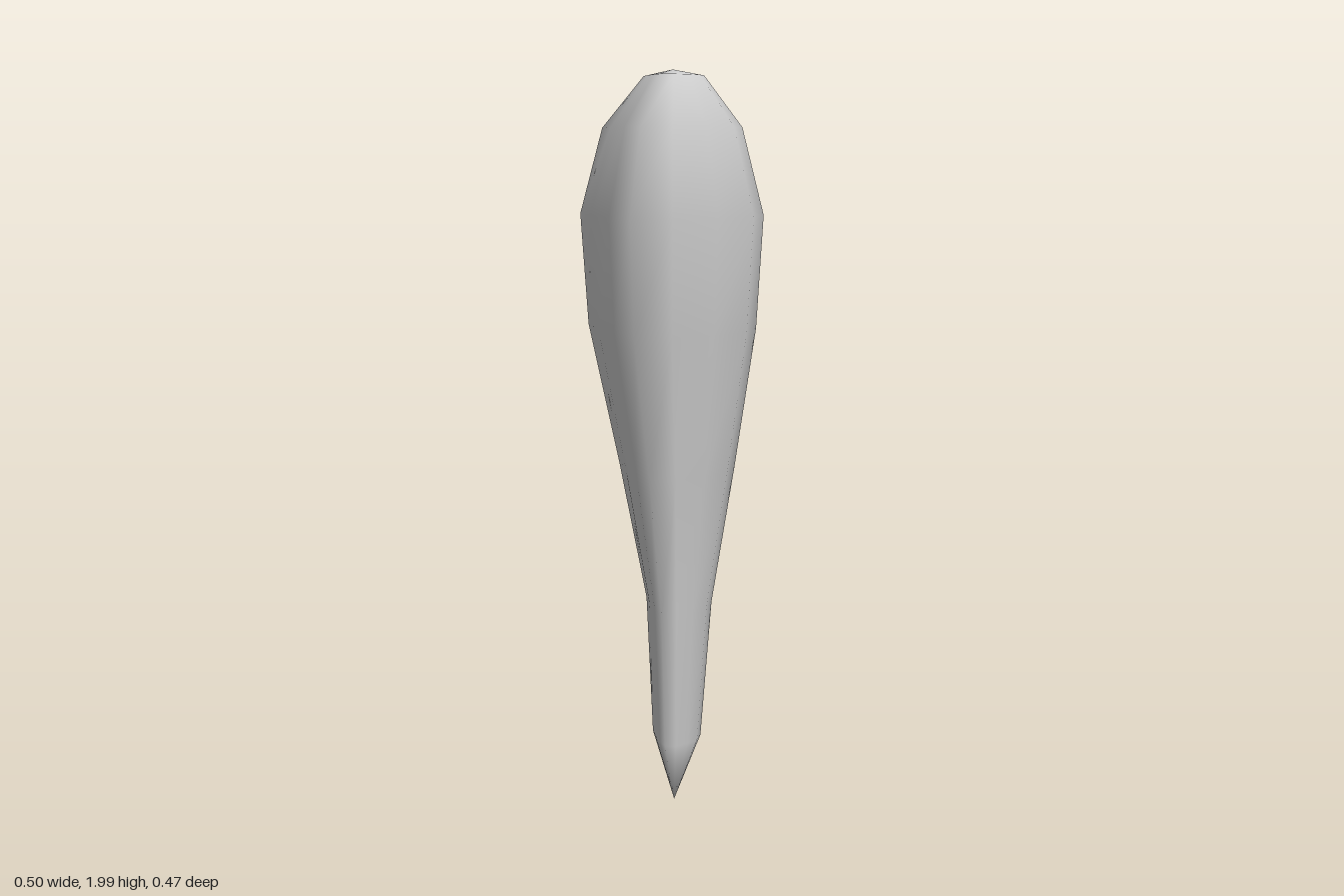
import * as THREE from 'three';

// Irregular faceted cross-section at the widest point, as [x, z]
const SECTION = [
  [-0.25, -0.085], [-0.17, -0.18], [-0.1, -0.2], [0, -0.235], [0.1, -0.225], [0.19, -0.17],
  [0.25, -0.07], [0.24, 0.04], [0.165, 0.14], [0.065, 0.225], [-0.04, 0.235],
  [-0.115, 0.15], [-0.19, 0.035],
];

// Rings from bottom to top: [y, min x, max x, min z, max z]
const RINGS = [
  [0.19, -0.045, 0.092, -0.095, 0.065],
  [0.57, -0.07, 0.116, -0.155, 0.09],
  [0.95, -0.15, 0.175, -0.2, 0.14],
  [1.33, -0.235, 0.23, -0.235, 0.2],
  [1.63, -0.25, 0.25, -0.222, 0.235],
  [1.855, -0.178, 0.197, -0.15, 0.2],
  [1.985, -0.06, 0.1, -0.065, 0.1],
];
const BOTTOM = [0.025, 0.01, 0];
const TOP = [0.02, 2, 0.005];

// Loft the section through the rings and close both ends with a point
function loftBody() {
  const n = SECTION.length;
  const positions = [];
  const index = [];
  for (const [y, x0, x1, z0, z1] of RINGS) {
    for (const [x, z] of SECTION) {
      positions.push(
        THREE.MathUtils.mapLinear(x, -0.25, 0.25, x0, x1),
        y,
        THREE.MathUtils.mapLinear(z, -0.235, 0.235, z0, z1),
      );
    }
  }
  const bottom = n * RINGS.length;
  const top = bottom + 1;
  positions.push(...BOTTOM, ...TOP);

  const last = n * (RINGS.length - 1);
  for (let j = 0; j < n; j++) {
    const k = (j + 1) % n;
    index.push(bottom, j, k);
    for (let r = 0; r < last; r += n) {
      index.push(r + j, r + n + j, r + k, r + k, r + n + j, r + n + k);
    }
    index.push(last + j, top, last + k);
  }

  const geometry = new THREE.BufferGeometry();
  geometry.setAttribute('position', new THREE.Float32BufferAttribute(positions, 3));
  geometry.setIndex(index);
  geometry.computeVertexNormals();
  return geometry;
}

export function createModel() {
  const model = new THREE.Group();
  model.name = 'taperedClub';
  const body = new THREE.Mesh(loftBody(), new THREE.MeshStandardMaterial({ color: 0xcccccc }));
  body.name = 'body';
  model.add(body);
  return model;
}
